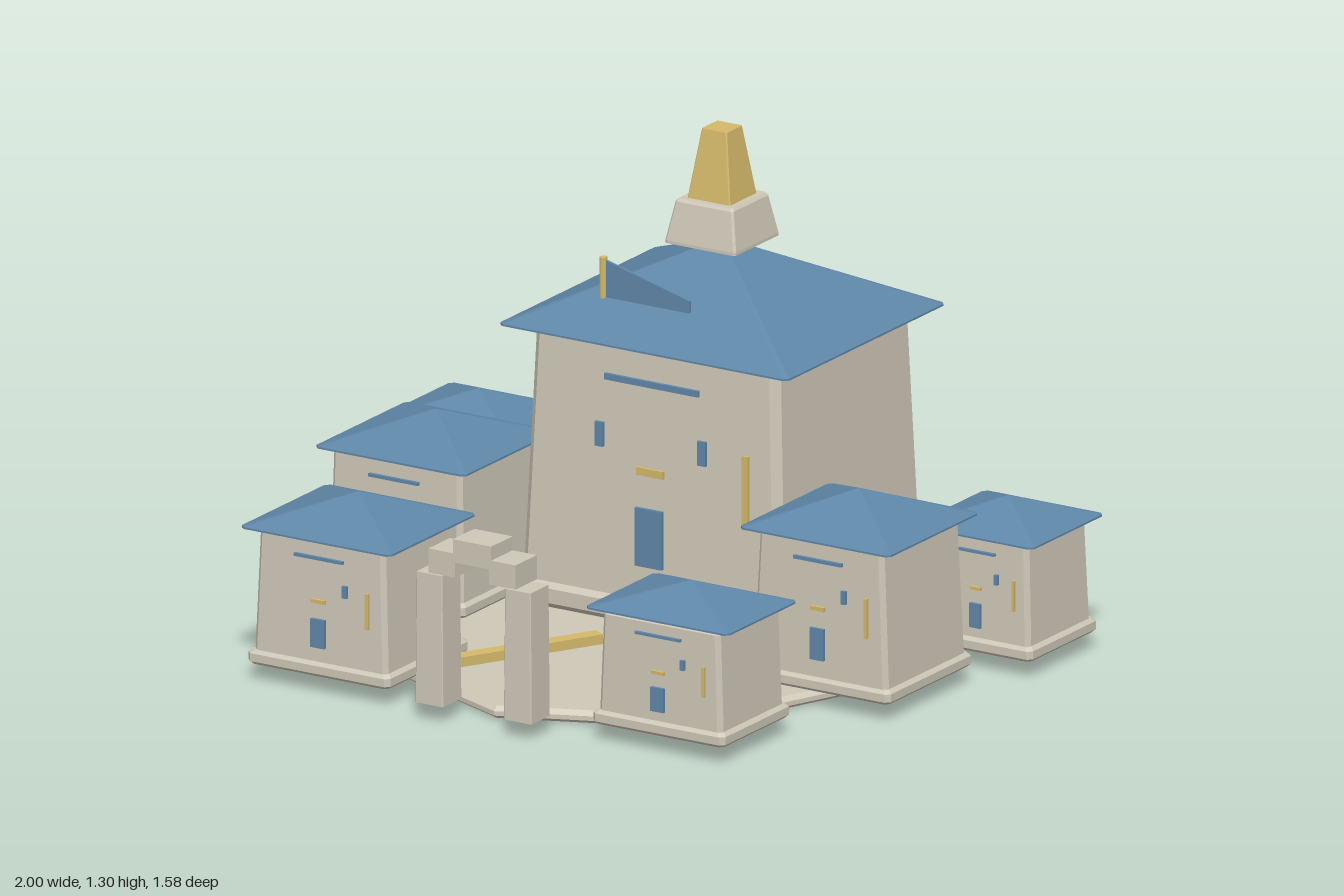
import * as THREE from 'three';

const flat = (name, color) => {
  const m = new THREE.MeshStandardMaterial({ color });
  m.name = name;
  return m;
};

export function createModel() {
  const stone = flat('pale stone', 0xcfc8b8);
  const blue = flat('slate blue', 0x5f87a8);
  const gold = flat('gold', 0xd4b96a);
  const model = new THREE.Group();
  model.name = 'walledCourt';

  const add = (parent, name, geometry, material, x = 0, y = 0, z = 0) => {
    const mesh = new THREE.Mesh(geometry, material);
    mesh.name = name;
    mesh.position.set(x, y, z);
    parent.add(mesh);
    return mesh;
  };
  const box = (parent, name, material, w, h, d, x, y, z) =>
    add(parent, name, new THREE.BoxGeometry(w, h, d), material, x, y, z);

  // Solid through rectangular sections [halfX, halfZ, y] with clipped corners
  function loft(sections, chamfer) {
    const rings = sections.map(([a, b, y]) => {
      const c = Math.min(chamfer, a * 0.4, b * 0.4);
      return [[a, b - c], [a - c, b], [c - a, b], [-a, b - c], [-a, c - b], [c - a, -b], [a - c, -b], [a, c - b]]
        .map(([x, z]) => [x, y, z]);
    });
    const out = [];
    const top = rings.length - 1;
    for (let i = 0; i < 8; i++) {
      const j = (i + 1) % 8;
      for (let r = 0; r < top; r++) {
        const lo = rings[r], up = rings[r + 1];
        out.push(...lo[i], ...up[i], ...lo[j], ...lo[j], ...up[i], ...up[j]);
      }
      out.push(0, sections[0][2], 0, ...rings[0][i], ...rings[0][j]);
      out.push(0, sections[top][2], 0, ...rings[top][j], ...rings[top][i]);
    }
    const g = new THREE.BufferGeometry();
    g.setAttribute('position', new THREE.Float32BufferAttribute(out, 3));
    g.computeVertexNormals();
    return g;
  }

  // Octagonal courtyard floor with bevelled rim
  const floor = new THREE.Group();
  floor.name = 'courtyardFloor';
  model.add(floor);
  const rim = [[0.665, 0.68, 0, 0.01], [0.68, 0.68, 0.01, 0.022], [0.68, 0.665, 0.022, 0.034]];
  rim.forEach(([r0, r1, y0, y1], i) => {
    const g = new THREE.CylinderGeometry(r1, r0, y1 - y0, 8, 1, i === 1).toNonIndexed();
    g.computeVertexNormals();
    add(floor, 'floorLayer', g, stone, 0, (y0 + y1) / 2, 0);
  });

  // Tapered hall: top = half sizes at eave, foot = half sizes at plinth, roof = half sizes of eave
  const base = 0.045;
  function hall({ name, at, top, foot, roof, eave, apex, plinth, corner, pairedWindows }) {
    const g = new THREE.Group();
    g.name = name;
    g.position.set(at[0], 0, at[1]);
    model.add(g);
    const [fx, fz] = foot;
    const bev = plinth * 0.22;
    add(g, 'plinth', loft([
      [fx - bev, fz - bev, base], [fx, fz, base + bev],
      [fx, fz, base + plinth - bev], [fx - bev, fz - bev, base + plinth]], corner), stone);
    add(g, 'walls', loft([[fx - 0.012, fz - 0.012, base + 0.01],
      [top[0], top[1], eave - 0.012], [top[0] - 0.012, top[1] - 0.012, eave + 0.002]], corner), stone);
    add(g, 'roof', loft([[roof[0], roof[1], eave], [roof[0], roof[1], eave + 0.005],
      [0.002, 0.002, apex]], 0.012), blue);

    // Painted front plates, proportioned to the wall
    const H = eave - base, W = top[0];
    const plate = (label, mat, u, v, w, h) => {
      const z = fz - 0.012 + (top[1] - fz + 0.012) * v + 0.01;
      box(g, label, mat, w * W, h * H, 0.009, u * W, base + v * H, z);
    };
    plate('friezeStrip', blue, 0, 0.87, 0.77, 0.022);
    plate('door', blue, 0, 0.32, 0.22, 0.21);
    plate('doorLintel', gold, 0, 0.555, 0.22, 0.028);
    plate('window', blue, 0.42, 0.66, 0.068, 0.088);
    if (pairedWindows) plate('window', blue, -0.42, 0.66, 0.068, 0.088);
    plate('banner', gold, 0.78, 0.55, 0.05, 0.265);
    return g;
  }

  // Main hall with finial and flag
  const main = hall({ name: 'mainHall', at: [0, -0.408], top: [0.37, 0.322], foot: [0.41, 0.358], roof: [0.438, 0.38],
    eave: 0.79, apex: 0.998, plinth: 0.07, corner: 0.022, pairedWindows: true });
  add(main, 'finialBase', loft([[0.107, 0.107, 0.995], [0.107, 0.107, 1.003],
    [0.088, 0.088, 1.105], [0.082, 0.082, 1.112]], 0.006), stone);
  add(main, 'finialSpire', loft([[0.065, 0.065, 1.11], [0.038, 0.038, 1.296]], 0.003), gold);
  const pole = new THREE.CylinderGeometry(0.011, 0.011, 0.115, 8);
  add(main, 'flagPole', pole, gold, -0.208, 0.918, 0.238);
  const flag = new THREE.Shape([[-0.2, 0.868], [0.055, 0.868], [0.055, 0.902], [-0.2, 0.968]]
    .map(([x, y]) => new THREE.Vector2(x, y)));
  add(main, 'flag', new THREE.ExtrudeGeometry(flag, { depth: 0.008, bevelEnabled: false }), blue, 0, 0, 0.234);

  // Six side halls
  [
    ['rearRightHall', [-0.803, -0.51], [0.166, 0.148], [0.19, 0.168], [0.198, 0.179], 0.353, 0.425],
    ['middleRightHall', [-0.648, -0.06], [0.195, 0.187], [0.216, 0.207], [0.228, 0.22], 0.435, 0.52],
    ['frontRightHall', [-0.494, 0.55], [0.19, 0.177], [0.215, 0.196], [0.228, 0.208], 0.41, 0.492],
    ['rearLeftHall', [0.816, -0.49], [0.147, 0.142], [0.17, 0.162], [0.182, 0.173], 0.355, 0.425],
    ['middleLeftHall', [0.652, -0.036], [0.188, 0.185], [0.218, 0.203], [0.228, 0.217], 0.45, 0.54],
    ['frontLeftHall', [0.503, 0.53], [0.177, 0.148], [0.2, 0.163], [0.217, 0.168], 0.353, 0.422],
  ].forEach(([name, at, top, foot, roof, eave, apex]) =>
    hall({ name, at, top, foot, roof, eave, apex, plinth: 0.038, corner: 0.012 }));

  // Gate: two posts and a stepped arch
  const gate = new THREE.Group();
  gate.name = 'gate';
  gate.position.set(0.003, 0, 0.738);
  model.add(gate);
  for (const s of [-1, 1]) {
    add(gate, 'gatePost', loft([[0.042, 0.046, base], [0.039, 0.045, 0.397]], 0.003), stone, s * 0.134);
    box(gate, 'archShoulder', stone, 0.08, 0.065, 0.102, s * 0.092, 0.435, 0);
  }
  box(gate, 'archCrown', stone, 0.116, 0.062, 0.102, 0, 0.474, 0);

  // Golden walkways
  const path = (x0, z0, x1, z1) => {
    const dx = x1 - x0, dz = z1 - z0;
    const m = box(model, 'walkway', gold, Math.hypot(dx, dz), 0.026, 0.04, (x0 + x1) / 2, 0.05, (z0 + z1) / 2);
    m.rotation.y = -Math.atan2(dz, dx);
  };
  path(-0.055, 0.09, -0.3, 0.52);
  path(0.12, -0.01, 0.47, -0.01);

  return model;
}
